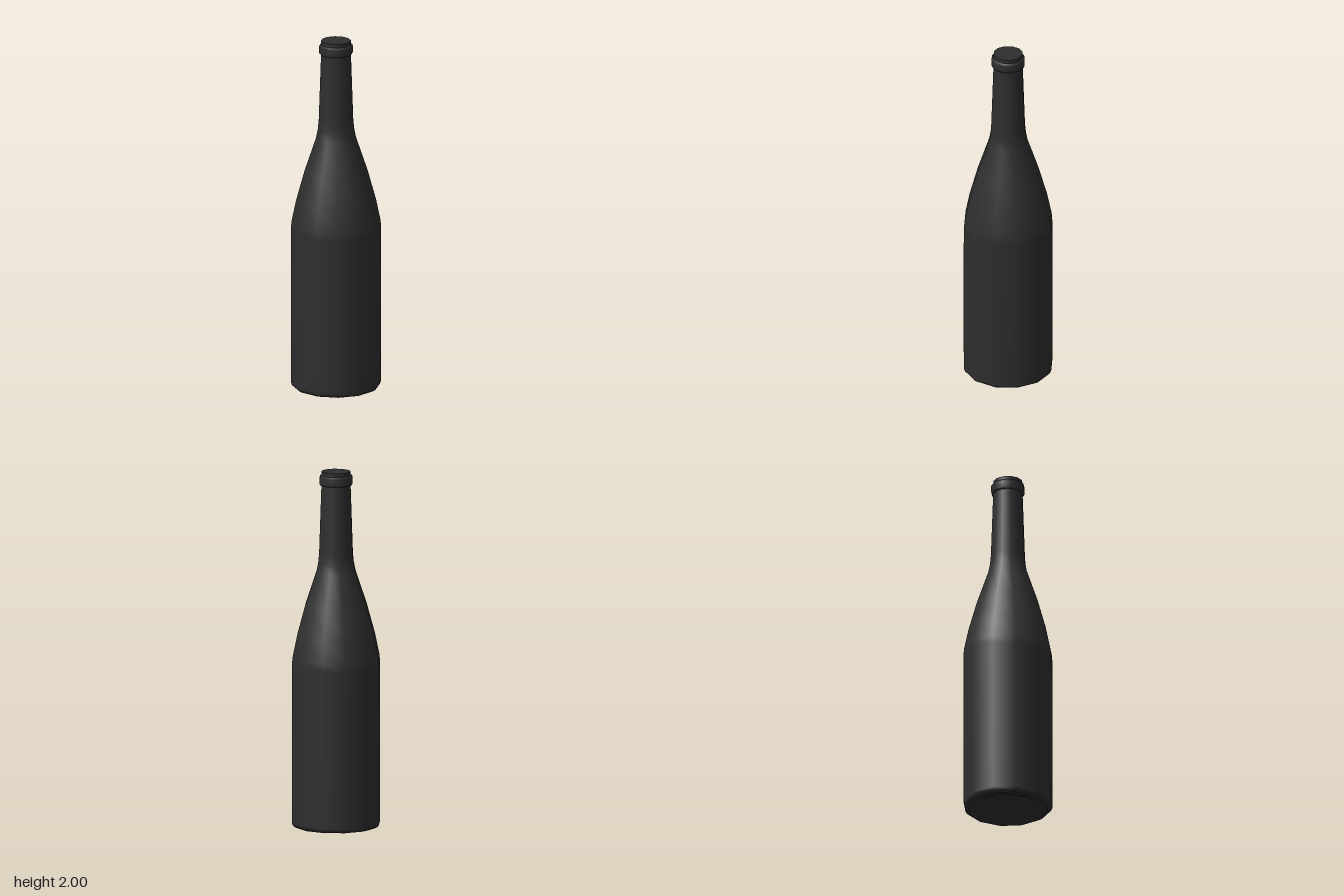
import * as THREE from 'three';

const SIDES = 12;

export function createModel() {
  const bottle = new THREE.Group();
  bottle.name = 'bottle';
  const glass = new THREE.MeshStandardMaterial({ color: 0x2e2e2e });

  // Turns a bottom-to-top profile of [radius, height] points around y
  const turn = (name, profile, sides = SIDES, start = 0, sweep = Math.PI * 2) => {
    const points = profile.map(([r, y]) => new THREE.Vector2(r, y));
    const mesh = new THREE.Mesh(new THREE.LatheGeometry(points, sides, start, sweep), glass);
    mesh.name = name;
    bottle.add(mesh);
    return mesh;
  };

  // Hollow underside, rising to a blunt dome
  turn('punt', [[0, 0.1], [0.06, 0.088], [0.12, 0.05], [0.17, 0.012], [0.2, 0], [0.226, 0.002]]);

  // Rounded heel, straight wall, sloping shoulder and neck
  turn('body', [
    [0.226, 0.002], [0.243, 0.012], [0.251, 0.03], [0.251, 0.91], [0.247, 0.96],
    [0.222, 1.08], [0.175, 1.25], [0.111, 1.44], [0.101, 1.49], [0.096, 1.54], [0.083, 1.92], [0.082, 2],
  ]);

  // Raised ring below the mouth
  turn('lipRing', [[0.08, 1.922], [0.09, 1.924], [0.094, 1.932], [0.094, 1.967], [0.09, 1.977], [0.08, 1.979]]);

  // Closed mouth
  const mouth = new THREE.Mesh(new THREE.CircleGeometry(0.082, SIDES), glass);
  mouth.name = 'mouth';
  mouth.rotation.x = -Math.PI / 2;
  mouth.position.y = 2;
  bottle.add(mouth);

  // Thin blank label over the four front faces
  turn('frontLabel', [[0.2518, 0.135], [0.2518, 0.83]], 4, -Math.PI / 3, Math.PI * 2 / 3);

  return bottle;
}
